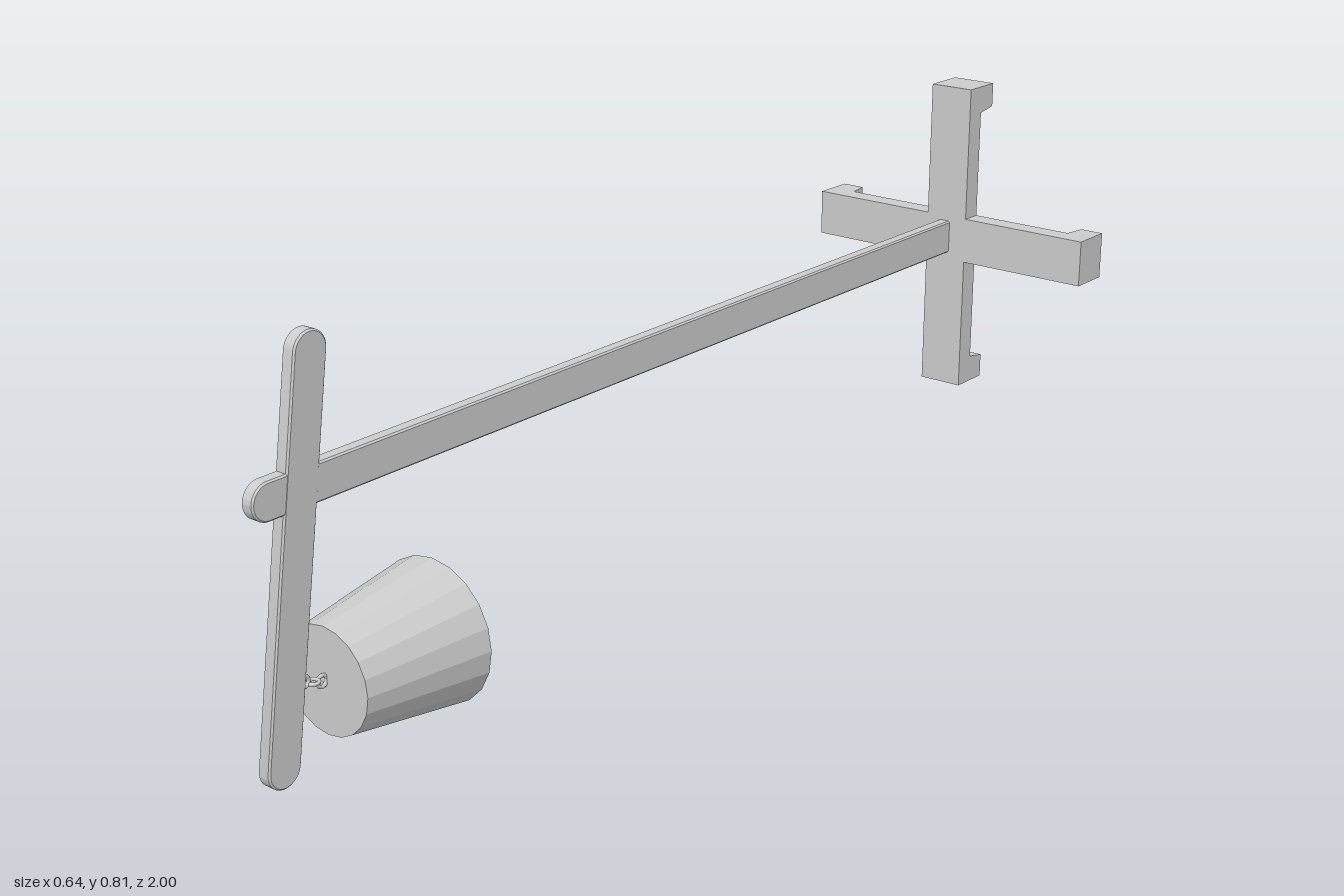
import * as THREE from 'three';
import { toCreasedNormals } from 'three/addons/utils/BufferGeometryUtils.js';

const X = -0.005; // centre plane of the beam and lamp
const grey = new THREE.MeshStandardMaterial({ color: 0xcccccc });
const shadeMaterial = new THREE.MeshStandardMaterial({
  color: 0xcccccc, flatShading: true, side: THREE.DoubleSide,
});

function part(name, geometry, material = grey) {
  const mesh = new THREE.Mesh(geometry, material);
  mesh.name = name;
  return mesh;
}

// Flat bar with round ends in the z-y plane, between points [z, y] a and b
function roundedBar(name, a, b, ra, rb, width) {
  const angle = Math.atan2(b[1] - a[1], b[0] - a[0]);
  const shape = new THREE.Shape();
  shape.absarc(a[0], a[1], ra, angle + Math.PI / 2, angle + Math.PI * 1.5, false);
  shape.absarc(b[0], b[1], rb, angle - Math.PI / 2, angle + Math.PI / 2, false);
  shape.closePath();
  const bevel = 0.003;
  const geometry = new THREE.ExtrudeGeometry(shape, {
    depth: width - 2 * bevel, curveSegments: 12, bevelEnabled: true,
    bevelSize: bevel, bevelOffset: -bevel, bevelThickness: bevel, bevelSegments: 1,
  });
  geometry.translate(0, 0, -(width - 2 * bevel) / 2);
  geometry.rotateY(-Math.PI / 2);
  geometry.translate(X, 0, 0);
  return part(name, toCreasedNormals(geometry, 0.5));
}

// Cross-shaped bracket: a hub with four arms, each ending in a backward hook
function createBracket() {
  const bracket = new THREE.Group();
  bracket.name = 'bracket';
  const w = 0.093, front = -0.915, back = -0.957, tip = -1;
  const hub = new THREE.BoxGeometry(w, w, front - back);
  hub.translate(0, 0, (front + back) / 2);
  bracket.add(part('bracketHub', hub));

  const profile = new THREE.Shape([
    [w / 2, front], [w / 2, back], [0.265, back], [0.272, tip], [0.32, tip], [0.32, front],
  ].map(([u, z]) => new THREE.Vector2(u, z)));
  for (let i = 0; i < 4; i++) {
    const arm = new THREE.ExtrudeGeometry(profile, { depth: w, bevelEnabled: false });
    arm.translate(0, 0, -w / 2);
    arm.rotateX(Math.PI / 2);
    arm.rotateZ(i * Math.PI / 2);
    bracket.add(part('bracketArm', arm));
  }
  bracket.position.y = 0.491;
  return bracket;
}

// Lamp hung sideways: open tapered shade, bulb and small chain links
function createLamp() {
  const lamp = new THREE.Group();
  lamp.name = 'lamp';
  const shade = new THREE.LatheGeometry([
    new THREE.Vector2(0.131, 0.617), new THREE.Vector2(0.096, 0.862), new THREE.Vector2(0, 0.862),
  ], 20);
  shade.rotateX(Math.PI / 2);
  lamp.add(part('shade', shade, shadeMaterial));

  const bulb = part('bulb', new THREE.SphereGeometry(0.04, 24, 16));
  bulb.position.z = 0.67;
  lamp.add(bulb);

  [[0.016, 0.908], [0.009, 0.889], [0.003, 0.870]].forEach(([y, z], i) => {
    const link = part('chainLink', new THREE.TorusGeometry(0.01, 0.0035, 8, 16));
    link.position.set(0, y, z);
    link.rotation.y = i % 2 ? 0 : Math.PI / 2;
    if (i % 2) link.rotation.x = Math.PI / 2;
    lamp.add(link);
  });
  lamp.position.set(X, 0.145, 0);
  return lamp;
}

export function createModel() {
  const model = new THREE.Group();
  model.name = 'wallLamp';
  model.add(createBracket());
  model.add(roundedBar('beam', [-0.92, 0.493], [0.967, 0.489], 0.034, 0.033, 0.026));
  model.add(roundedBar('crossbar', [0.967, 0.034], [0.868, 0.704], 0.034, 0.034, 0.027));
  model.add(createLamp());
  return model;
}
